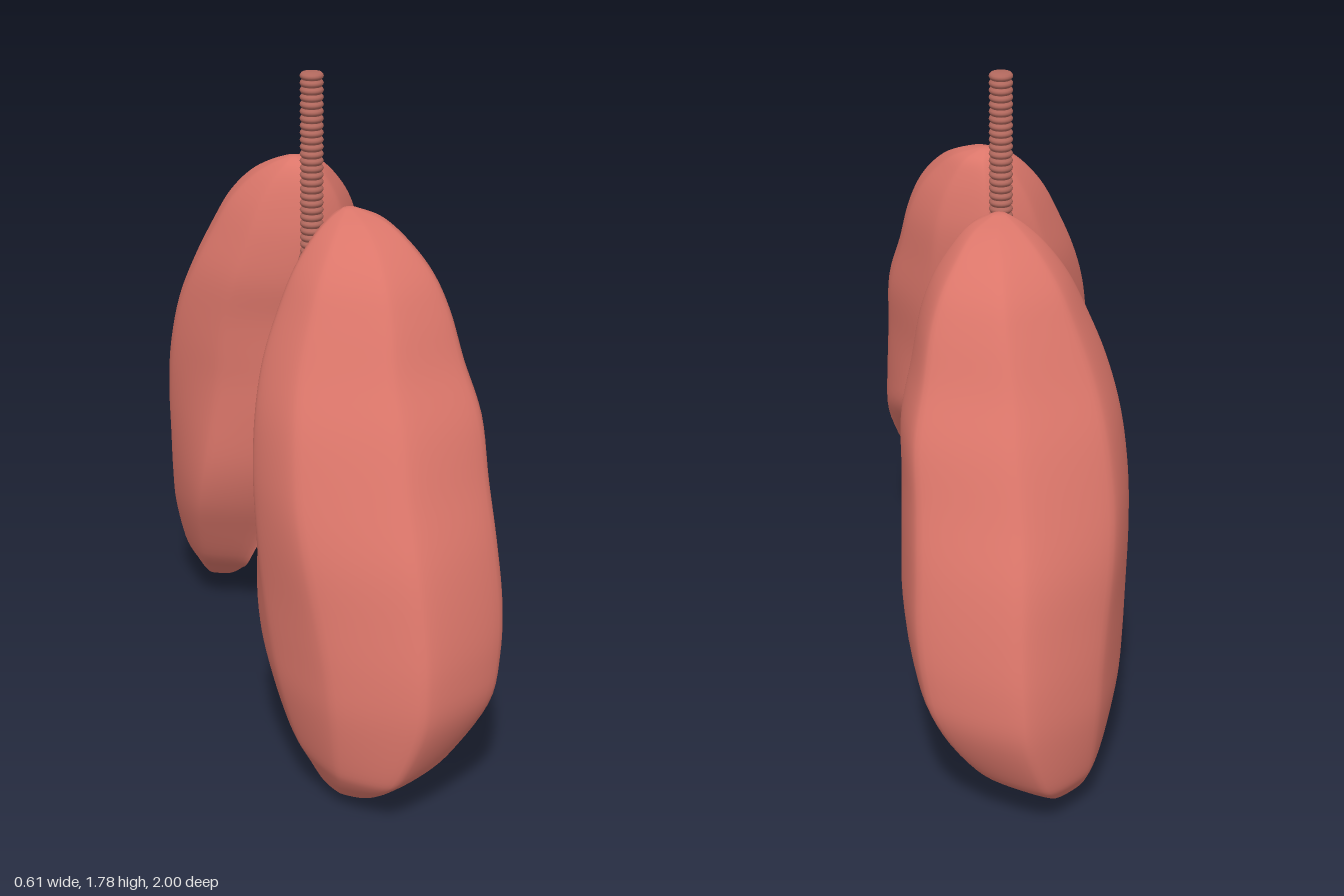
import * as THREE from 'three';

// Lung outline, bottom to top: height, inner z, outer z, low x, high x
const LEVELS = [
  [0.005, 0.70, 0.74, -0.13, -0.09], [0.04, 0.62, 0.83, -0.17, -0.02],
  [0.10, 0.52, 0.92, -0.205, 0.06], [0.16, 0.43, 0.965, -0.235, 0.14],
  [0.30, 0.335, 1.0, -0.27, 0.25], [0.42, 0.27, 0.995, -0.285, 0.285],
  [0.55, 0.225, 0.965, -0.295, 0.30], [0.70, 0.205, 0.915, -0.303, 0.297],
  [0.85, 0.20, 0.84, -0.302, 0.292], [1.00, 0.19, 0.765, -0.285, 0.29],
  [1.13, 0.17, 0.685, -0.25, 0.26], [1.25, 0.167, 0.62, -0.20, 0.235],
  [1.34, 0.18, 0.56, -0.155, 0.20], [1.41, 0.20, 0.48, -0.10, 0.15],
  [1.455, 0.225, 0.385, -0.045, 0.10], [1.478, 0.26, 0.30, 0.0, 0.04],
];

// Blunt eight-cornered cross-sections, in x and z from -1 to 1
const section = (points) => new THREE.CatmullRomCurve3(
  points.map(([u, v]) => new THREE.Vector3(u, 0, v)), true, 'catmullrom', 0.27);
const UPPER = section([
  [0, -1], [0.66, -0.7], [1, -0.08], [0.9, 0.64], [0.05, 1], [-0.79, 0.56], [-1, -0.08], [-0.68, -0.68]]);
const LOWER = section([
  [0, -1], [0.88, -0.76], [1, -0.05], [0.9, 0.64], [0.05, 1], [-0.7, 0.58], [-1, -0.08], [-0.9, -0.74]]);

const bump = (d, w) => Math.exp(-(d * d) / (w * w));

// Smooth minimum, so the cut face has a soft edge
function softMin(a, b, k) {
  const h = Math.max(k - Math.abs(a - b), 0) / k;
  return Math.min(a, b) - h * h * k * 0.25;
}

function lungGeometry(side, folded) {
  const curve = (f) => new THREE.CatmullRomCurve3(LEVELS.map(f), false, 'catmullrom', 0.5);
  const depth = curve((l) => new THREE.Vector3(l[1], l[0], l[2]));
  const width = curve((l) => new THREE.Vector3(l[3], l[0], l[4]));
  const rows = 75, cols = 72, pos = [], idx = [];

  for (let j = 0; j <= rows; j++) {
    const d = depth.getPoint(j / rows), w = width.getPoint(j / rows), y = d.y;
    const blend = THREE.MathUtils.smoothstep(y, 0.35, 0.85);
    for (let i = 0; i < cols; i++) {
      const p = LOWER.getPoint(i / cols).lerp(UPPER.getPoint(i / cols), blend);
      const z = (d.x + d.z) / 2 + (p.z * (d.z - d.x)) / 2;
      let x = (w.x + w.z) / 2 + (p.x * (w.z - w.x)) / 2;
      // slanting lower face on the +x side, flattening out near the back
      const below = 0.65 - 0.673 * (z - 0.33) - y;
      const cut = 0.25 + 0.05 * (z - 0.33) - 0.9 * below;
      x = softMin(x, -softMin(-cut, 0.1, 0.08), 0.05);
      // fold: a curved crease with a lip under it
      if (folded && p.x > 0) {
        const fade = Math.min(1, p.x * 1.6);
        const line = y - (0.3 + 1.4 * (z - 0.85) ** 2);
        x -= fade * 0.06 * bump(line, 0.05) * bump(z - 0.6, 0.17);
        x += fade * 0.04 * bump(line + 0.11, 0.09) * bump(z - 0.55, 0.2);
      }
      pos.push(x, y, z * side);
    }
  }
  const tri = (a, b, c) => (side > 0 ? idx.push(a, c, b) : idx.push(a, b, c));
  for (let j = 0; j < rows; j++) {
    for (let i = 0; i < cols; i++) {
      const n = (i + 1) % cols, a = j * cols, b = a + cols;
      tri(a + i, a + n, b + i);
      tri(a + n, b + n, b + i);
    }
  }
  // close both ends
  const bottom = pos.length / 3, top = bottom + 1, last = rows * cols;
  pos.push(-0.11, 0, 0.72 * side, 0.02, 1.482, 0.28 * side);
  for (let i = 0; i < cols; i++) {
    const n = (i + 1) % cols;
    tri(bottom, n, i);
    tri(top, last + i, last + n);
  }
  const g = new THREE.BufferGeometry();
  g.setAttribute('position', new THREE.Float32BufferAttribute(pos, 3));
  g.setIndex(idx);
  g.computeVertexNormals();
  return g;
}

// Airway made of stacked rounded rings between two points
function ringedTube(from, to, radius, material, name) {
  const a = new THREE.Vector3(...from), b = new THREE.Vector3(...to);
  const length = a.distanceTo(b), count = Math.round(length / 0.02), step = length / count;
  const profile = [new THREE.Vector2(0, 0)];
  for (let k = 0; k < count; k++) {
    for (let s = 0; s <= 4; s++) {
      const r = radius - 0.006 + 0.006 * Math.sin((s / 4) * Math.PI);
      profile.push(new THREE.Vector2(r, (k + 0.02 + s * 0.24) * step));
    }
  }
  profile.push(new THREE.Vector2(0, length));
  const mesh = new THREE.Mesh(new THREE.LatheGeometry(profile, 24), material);
  mesh.position.copy(a);
  mesh.quaternion.setFromUnitVectors(new THREE.Vector3(0, 1, 0), b.sub(a).normalize());
  mesh.name = name;
  return mesh;
}

export function createModel() {
  const group = new THREE.Group();
  group.name = 'lungs';
  const tissue = new THREE.MeshStandardMaterial({ color: 0xdb766a });
  tissue.name = 'lungTissue';
  const cartilage = new THREE.MeshStandardMaterial({ color: 0xb3695e });
  cartilage.name = 'airwayCartilage';

  // lungs
  for (const [side, folded, name] of [[1, false, 'frontLung'], [-1, true, 'backLung']]) {
    const lung = new THREE.Mesh(lungGeometry(side, folded), tissue);
    lung.name = name;
    group.add(lung);
  }

  // windpipe and its two branches
  group.add(
    ringedTube([-0.005, 1.25, -0.008], [-0.005, 1.78, -0.008], 0.033, cartilage, 'windpipe'),
    ringedTube([-0.005, 1.27, -0.008], [-0.005, 1.13, 0.2], 0.031, cartilage, 'frontBranch'),
    ringedTube([-0.005, 1.27, -0.008], [0.02, 1.13, -0.2], 0.031, cartilage, 'backBranch'),
  );
  return group;
}
